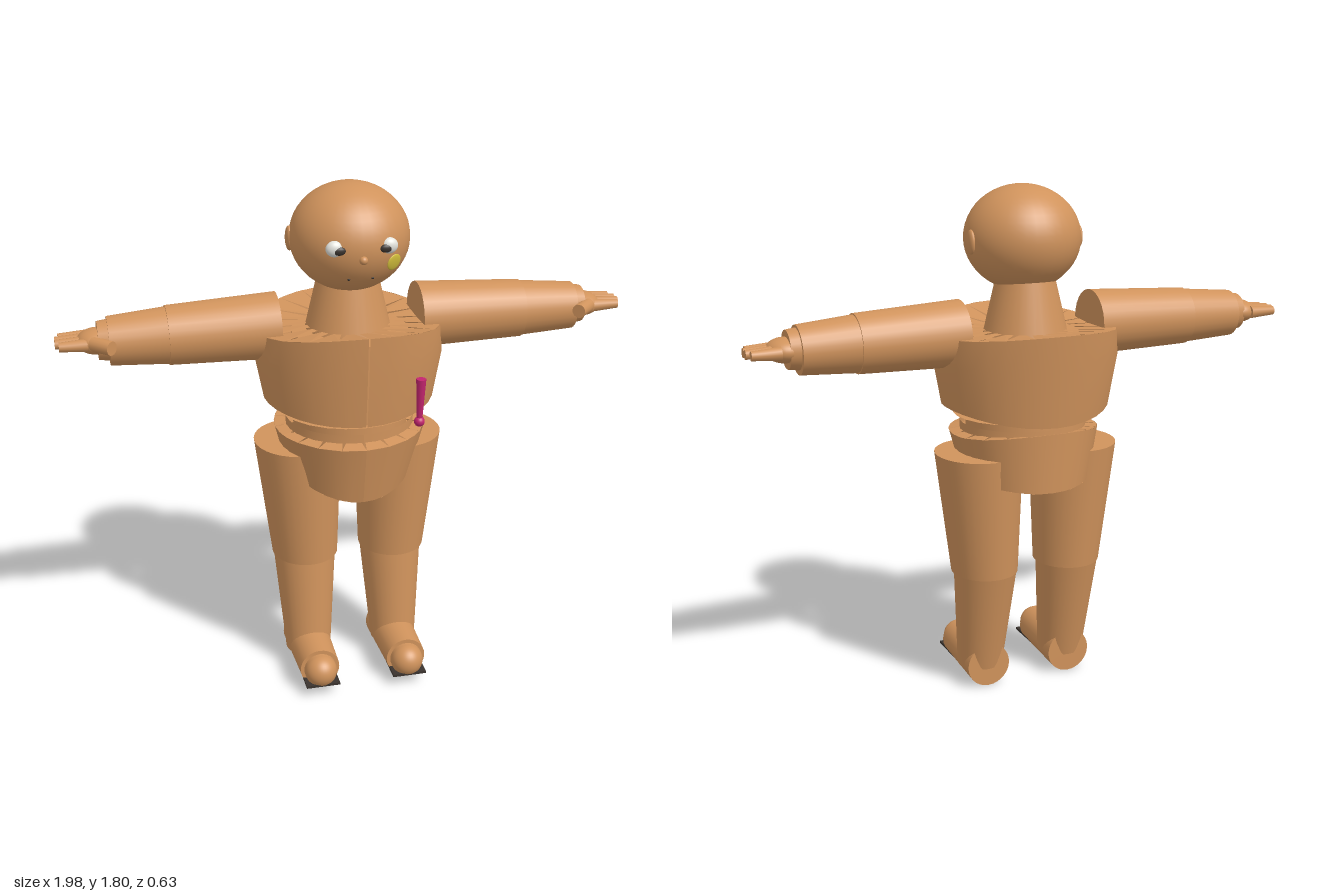
import * as THREE from 'three';

const mat = (name, color, side = THREE.FrontSide) => {
  const m = new THREE.MeshStandardMaterial({ color, side });
  m.name = name;
  return m;
};

export function createModel() {
  const root = new THREE.Group();
  root.name = 'jointedFigure';
  const wood = mat('wood', 0xd0935c, THREE.DoubleSide);
  const white = mat('eyeWhite', 0xe4e4de);
  const dark = mat('dark', 0x3a332e);
  const yellow = mat('yellow', 0xd4c03c);
  const magenta = mat('magenta', 0xc2256e);

  const add = (name, geo, m = wood, parent = root) => {
    const mesh = new THREE.Mesh(geo, m);
    mesh.name = name;
    parent.add(mesh);
    return mesh;
  };

  const ball = (name, x, y, z, rx, ry = rx, rz = rx, m = wood, parent = root) => {
    const mesh = add(name, new THREE.SphereGeometry(1, 36, 24), m, parent);
    mesh.position.set(x, y, z);
    mesh.scale.set(rx, ry, rz);
    return mesh;
  };

  // upright tapered column whose top and bottom centres may be offset; ends stay level
  const column = (name, bottom, top, rBottom, rTop, parent = root, zScale = 1) => {
    const [bx, by, bz] = bottom, [tx, ty, tz] = top, h = ty - by;
    const geo = new THREE.CylinderGeometry(rTop, rBottom, h, 32);
    geo.scale(1, 1, zScale);
    const shear = new THREE.Matrix4().set(
      1, (tx - bx) / h, 0, (tx + bx) / 2,
      0, 1, 0, (ty + by) / 2,
      0, (tz - bz) / h, 1, (tz + bz) / 2,
      0, 0, 0, 1);
    return add(name, geo.applyMatrix4(shear), wood, parent);
  };

  // tapered rod between two points in any direction
  const rod = (name, a, b, ra, rb, parent = root, m = wood, sides = 28) => {
    const p = new THREE.Vector3(...a), q = new THREE.Vector3(...b);
    const d = q.clone().sub(p);
    const mesh = add(name, new THREE.CylinderGeometry(rb, ra, d.length(), sides), m, parent);
    mesh.position.copy(p).add(q).multiplyScalar(0.5);
    mesh.quaternion.setFromUnitVectors(new THREE.Vector3(0, 1, 0), d.normalize());
    return mesh;
  };

  // open band lofted through rows; each row maps an angle (0 = front) to a point
  const band = (name, rows, n = 32, gap = 0) => {
    const pos = [], idx = [];
    rows.forEach((row) => {
      for (let i = 0; i <= n; i++) pos.push(...row(gap + (i / n) * (Math.PI * 2 - 2 * gap)));
    });
    for (let r = 0; r < rows.length - 1; r++) {
      for (let i = 0; i < n; i++) {
        const a = r * (n + 1) + i, b = a + n + 1;
        idx.push(a, b, a + 1, a + 1, b, b + 1);
      }
    }
    const geo = new THREE.BufferGeometry();
    geo.setAttribute('position', new THREE.Float32BufferAttribute(pos, 3));
    geo.setIndex(idx);
    geo.computeVertexNormals();
    return add(name, geo);
  };

  // fan of separate flat slats running from an inner row to an outer row
  const fan = (name, inner, outer, count, fill) => {
    const pos = [], step = (Math.PI * 2) / count;
    for (let i = 0; i < count; i++) {
      const t = (i + 0.5) * step, h = step / 2;
      const a = inner(t - h * fill), b = inner(t + h * fill);
      const c = outer(t + h), d = outer(t - h);
      pos.push(...a, ...d, ...c, ...a, ...c, ...b);
    }
    const geo = new THREE.BufferGeometry();
    geo.setAttribute('position', new THREE.Float32BufferAttribute(pos, 3));
    geo.computeVertexNormals();
    return add(name, geo);
  };

  // elliptical row with separate heights at the front, sides and back
  const row = (rx, rz, zc, front, side = front, back = front) => (t) => {
    const c = Math.cos(t);
    const y = side + (c > 0 ? front - side : back - side) * c * c;
    return [Math.sin(t) * rx, y, zc + c * rz];
  };

  // head and face
  ball('head', 0, 1.626, 0.026, 0.203, 0.182, 0.203);
  ball('nose', 0, 1.597, 0.227, 0.014);
  for (const s of [-1, 1]) {
    ball('ear', s * 0.2, 1.622, 0, 0.013, 0.042, 0.028);
    ball('eyeWhite', s * 0.09, 1.635, 0.203, 0.03, 0.027, 0.02, white);
    ball('pupil', s * 0.077, 1.63, 0.217, 0.021, 0.014, 0.009, dark);
    ball('mouthCorner', s * 0.04, 1.525, 0.188, 0.005, 0.005, 0.005, dark);
  }
  const tear = ball('cheekSpot', 0.11, 1.575, 0.193, 0.029, 0.029, 0.006, yellow);
  tear.rotation.set(0.28, 0.52, 0);

  // neck and inner body
  column('neck', [0, 1.29, 0], [0, 1.49, 0], 0.15, 0.103);
  column('innerBody', [0, 0.8, 0.03], [0, 1.3, 0.03], 0.2, 0.2);

  // chest shell with a front seam and slatted shoulders
  const chestTop = row(0.32, 0.313, 0, 1.36, 1.31, 1.34);
  band('chestShell', [
    chestTop,
    row(0.328, 0.302, 0.002, 1.22),
    row(0.298, 0.277, 0.005, 1.035, 1.06, 1.02),
  ], 32, 0.008);
  fan('shoulderSlats', row(0.14, 0.14, 0, 1.315), chestTop, 20, 0.6);

  // waist rings
  fan('waistRing', row(0.19, 0.19, 0.02, 1.02), row(0.25, 0.235, 0.02, 1.02), 24, 1);
  band('waistBand', [row(0.225, 0.215, 0.025, 0.99), row(0.225, 0.215, 0.025, 0.95)]);

  // hip shell
  const hipTop = row(0.265, 0.263, 0.02, 0.95, 0.955, 0.99);
  const hipBottom = row(0.225, 0.238, 0.002, 0.735, 0.8, 0.78);
  band('hipShell', [hipTop, hipBottom]);
  fan('hipTopSlats', row(0.19, 0.19, 0.03, 0.965), hipTop, 20, 0.7);
  fan('hipBottomSlats', row(0.08, 0.08, 0.02, 0.81), hipBottom, 20, 0.7);

  for (const s of [-1, 1]) {
    const side = s > 0 ? 'left' : 'right';

    // leg and foot
    const leg = new THREE.Group();
    leg.name = side + 'Leg';
    root.add(leg);
    column('thigh', [s * 0.161, 0.448, 0], [s * 0.181, 0.893, -0.005], 0.118, 0.154, leg, 1.09);
    column('shin', [s * 0.162, 0.07, 0.048], [s * 0.161, 0.47, -0.012], 0.082, 0.114, leg, 1.03);
    rod('foot', [s * 0.16, 0.085, -0.033], [s * 0.16, 0.088, 0.247], 0.08, 0.071, leg);
    rod('toe', [s * 0.16, 0.087, 0.2], [s * 0.16, 0.087, 0.262], 0.058, 0.058, leg);
    ball('toeTip', s * 0.16, 0.087, 0.262, 0.058, 0.058, 0.058, wood, leg);
    const sole = add('soleSeam', new THREE.BoxGeometry(0.122, 0.009, 0.33), dark, leg);
    sole.position.set(s * 0.16, 0.05, 0.141);

    // arm
    const arm = new THREE.Group();
    arm.name = side + 'Arm';
    root.add(arm);
    const y = 1.312, z = -0.008;
    rod('upperArm', [s * 0.245, y + 0.006, z], [s * 0.62, y, z], 0.115, 0.101, arm);
    rod('forearm', [s * 0.62, y, z], [s * 0.815, y - 0.004, z], 0.097, 0.083, arm);
    rod('wrist', [s * 0.8, y, z], [s * 0.85, y, z], 0.072, 0.065, arm);

    // hand
    ball('palm', s * 0.855, y, z, 0.065, 0.042, 0.068, wood, arm);
    for (let i = 0; i < 4; i++) {
      const fz = -0.06 + i * 0.03;
      rod('finger', [s * 0.88, y, fz], [s * (i % 3 ? 0.99 : 0.978), y, fz], 0.023, 0.016, arm, wood, 12);
    }
    rod('thumb', [s * 0.865, y + 0.004, 0.035], [s * 0.81, y + 0.004, 0.092], 0.026, 0.024, arm, wood, 16);
  }

  // chest lever
  const lever = new THREE.Group();
  lever.name = 'lever';
  root.add(lever);
  rod('leverHandle', [0.177, 1.045, 0.298], [0.18, 1.2, 0.3], 0.009, 0.017, lever, magenta, 16);
  ball('leverKnob', 0.177, 1.047, 0.298, 0.018, 0.018, 0.018, magenta, lever);

  return root;
}
